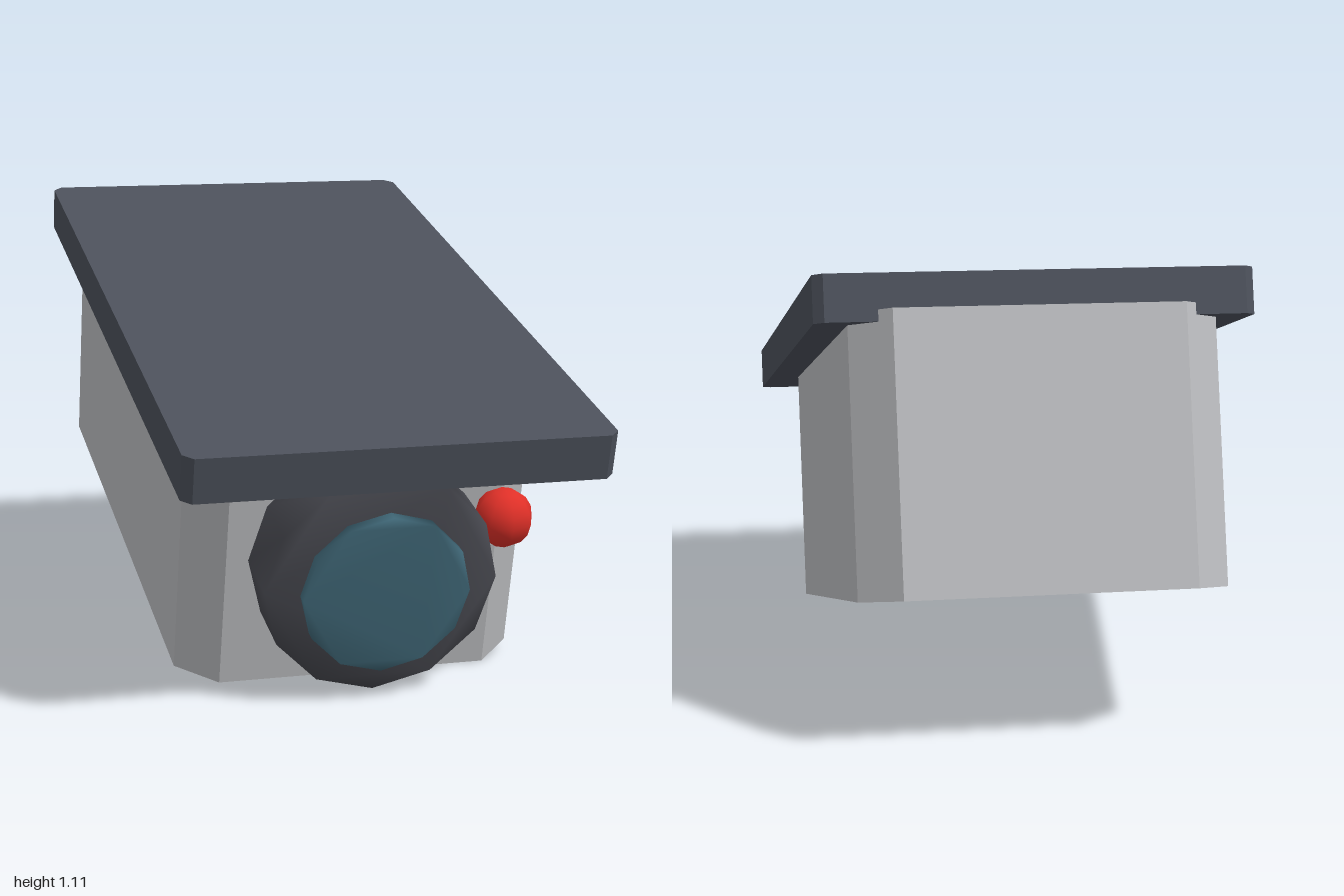
import * as THREE from 'three';
import { mergeVertices } from 'three/addons/utils/BufferGeometryUtils.js';

function material(name, color) {
  const m = new THREE.MeshStandardMaterial({ color });
  m.name = name;
  return m;
}

// Upright slab with chamfered vertical corners, standing on y = 0
function chamferedSlab(width, depth, height, c) {
  const x = width / 2, z = depth / 2;
  const outline = [
    [x - c, -z], [x, -z + c], [x, z - c], [x - c, z],
    [-x + c, z], [-x, z - c], [-x, -z + c], [-x + c, -z],
  ].map(([a, b]) => new THREE.Vector2(a, b));
  return new THREE.ExtrudeGeometry(new THREE.Shape(outline), { depth: height, bevelEnabled: false })
    .rotateX(-Math.PI / 2);
}

// Twelve-sided disc facing +z, with normals shared across its rim
function softDisc(radius, depth) {
  const outline = [];
  for (let i = 0; i < 12; i++) {
    const a = i * Math.PI / 6;
    outline.push(new THREE.Vector2(radius * Math.cos(a), radius * Math.sin(a)));
  }
  const g = new THREE.ExtrudeGeometry(new THREE.Shape(outline), { depth, bevelEnabled: false });
  g.deleteAttribute('normal');
  g.deleteAttribute('uv');
  g.clearGroups();
  const soft = mergeVertices(g, 1e-4);
  soft.computeVertexNormals();
  return soft;
}

export function createModel() {
  const model = new THREE.Group();
  model.name = 'securityCamera';

  const shell = material('light grey shell', 0xbcbdc0);
  const hood = material('slate hood', 0x4c515b);
  const dark = material('dark lens housing', 0x47484f);
  const glass = material('teal glass', 0x406878);
  const red = material('red lamp', 0xe03028);

  // Everything is tipped nose-down
  const tilted = new THREE.Group();
  tilted.name = 'tiltedCamera';
  tilted.rotation.x = THREE.MathUtils.degToRad(14);
  model.add(tilted);

  function add(name, geometry, mat, x, y, z) {
    const mesh = new THREE.Mesh(geometry, mat);
    mesh.name = name;
    mesh.position.set(x, y, z);
    tilted.add(mesh);
  }

  add('body', chamferedSlab(0.88, 1.612, 0.668, 0.095), shell, 0, 0.138, -0.26);
  add('sunHood', chamferedSlab(1.046, 1.844, 0.113, 0.024), hood, 0, 0.778, -0.114);
  add('lensHousing', softDisc(0.29, 0.165), dark, 0, 0.478, 0.542);
  add('lensGlass', softDisc(0.207, 0.029), glass, 0, 0.475, 0.728);
  add('statusLamp', new THREE.SphereGeometry(0.074, 8, 8), red, 0.326, 0.594, 0.625);

  return model;
}
